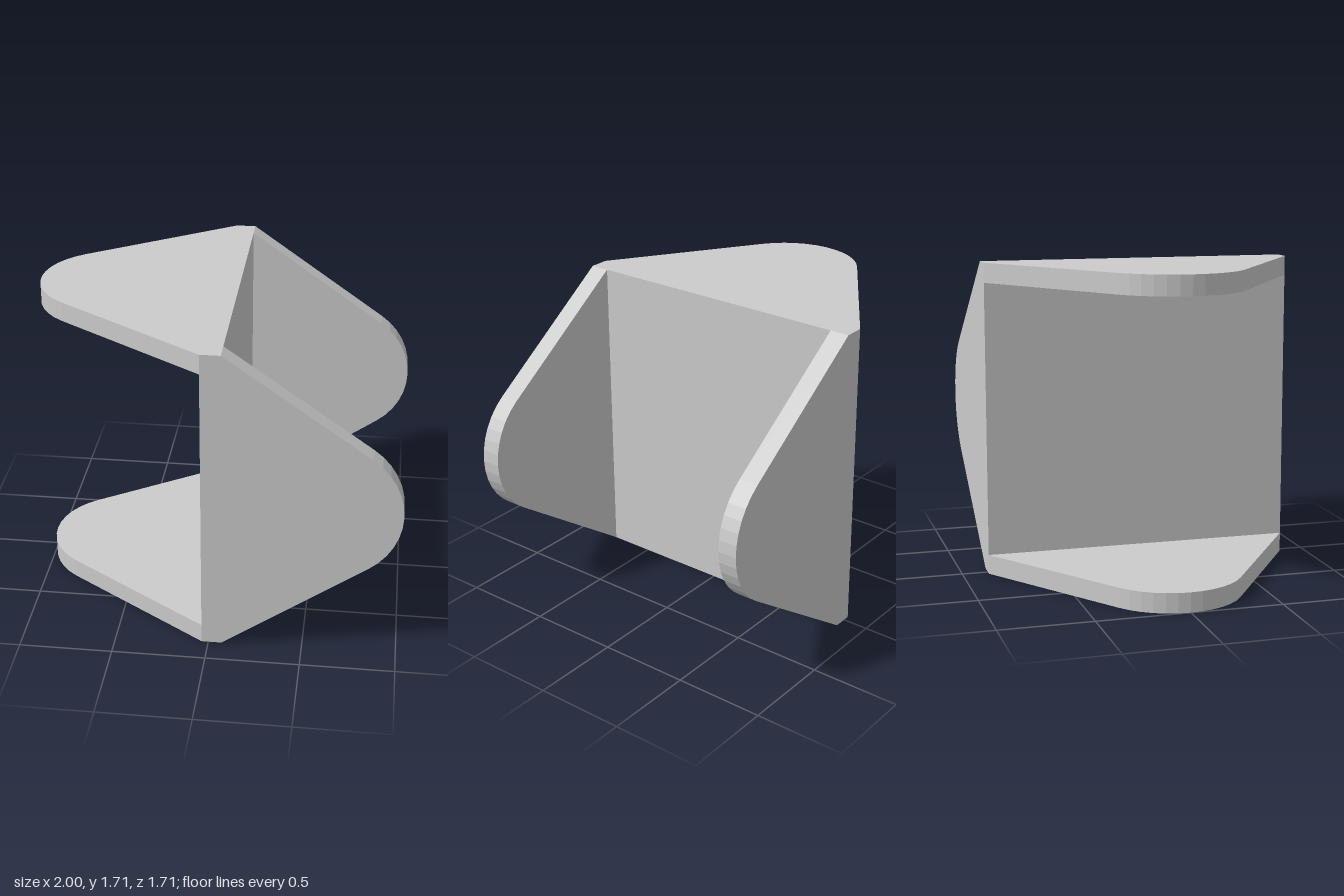
import * as THREE from 'three';

const HALF = 0.857;       // half width of the square web plate
const T = 0.107;          // plate thickness
const WEB_LEFT = -0.036;  // web faces along x
const WEB_RIGHT = WEB_LEFT + T;
const RADIUS = 0.395;     // rounded nose of each lug

// Tapered lug with a rounded nose at x = 1, pointing along +x, centred on z = 0
function lugGeometry(baseX) {
  const cx = 1 - RADIUS;
  const dx = baseX - cx;
  // angle at which the taper line touches the nose arc
  const a = Math.atan2(HALF, dx) - Math.acos(RADIUS / Math.hypot(dx, HALF));
  const shape = new THREE.Shape();
  shape.moveTo(baseX, HALF);
  shape.lineTo(baseX, -HALF);
  shape.absarc(cx, 0, RADIUS, -a, a, false);
  shape.closePath();
  return new THREE.ExtrudeGeometry(shape, { depth: T, bevelEnabled: false, curveSegments: 6 })
    .translate(0, 0, -T / 2);
}

export function createModel() {
  const group = new THREE.Group();
  group.name = 'crossedYokeBracket';
  const material = new THREE.MeshStandardMaterial({ color: 0xcccccc, flatShading: true });

  const add = (name, geometry, x, y, z) => {
    const mesh = new THREE.Mesh(geometry, material);
    mesh.name = name;
    mesh.position.set(x, y, z);
    group.add(mesh);
  };

  // Square plate joining both pairs of lugs
  add('webPlate', new THREE.BoxGeometry(T, 2 * HALF, 2 * HALF), (WEB_LEFT + WEB_RIGHT) / 2, HALF, 0);

  // Upright lugs reach to +x, level lugs reach to -x
  const upright = lugGeometry(WEB_RIGHT);
  const level = lugGeometry(-WEB_LEFT).rotateX(Math.PI / 2).rotateY(Math.PI);
  const offset = HALF - T / 2;
  for (const s of [1, -1]) {
    add(s > 0 ? 'frontLug' : 'backLug', upright, 0, HALF, s * offset);
    add(s > 0 ? 'topLug' : 'bottomLug', level, 0, HALF + s * offset, 0);
  }
  return group;
}
